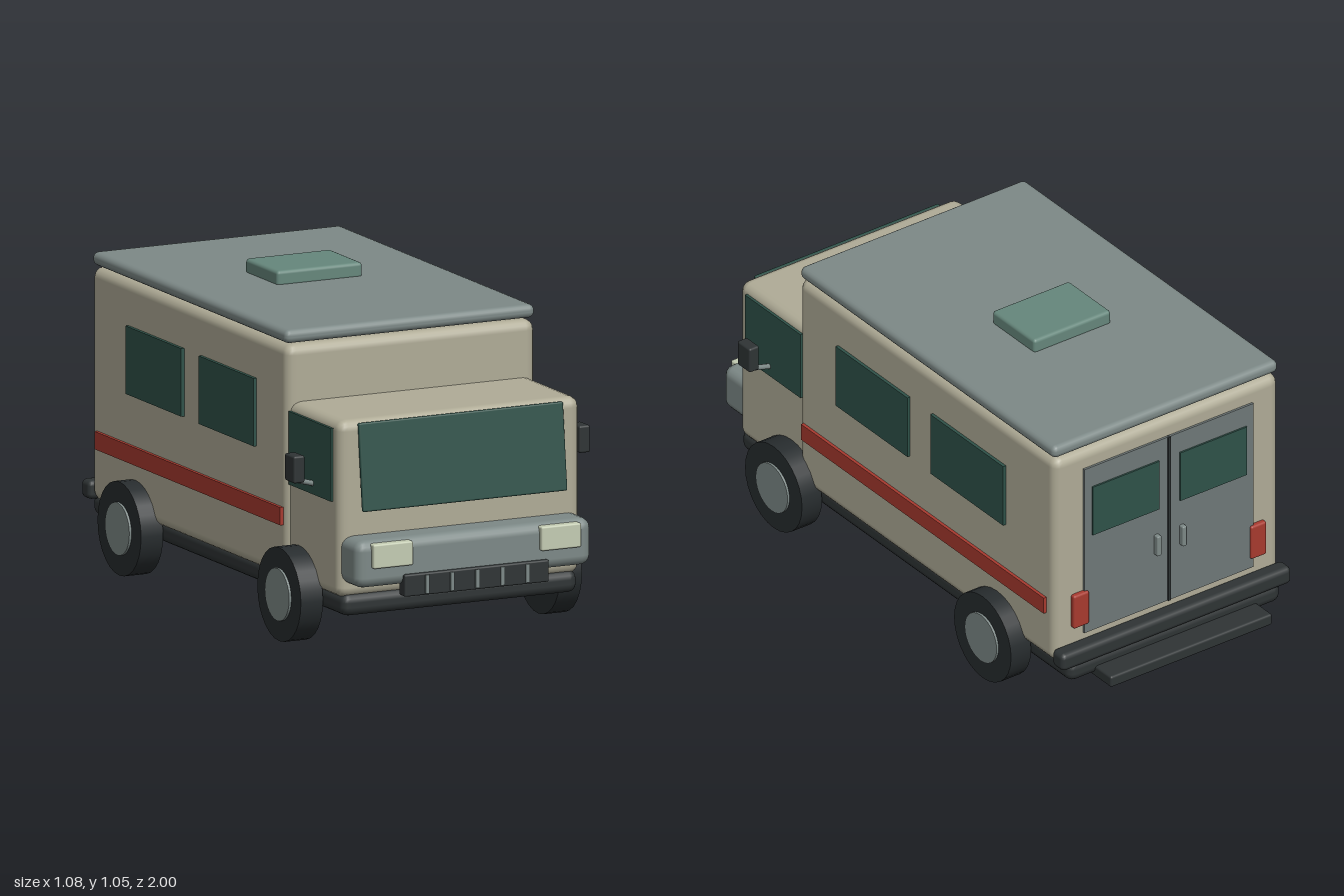
import * as THREE from 'three';
import { RoundedBoxGeometry } from 'three/addons/geometries/RoundedBoxGeometry.js';

const material = (color) => new THREE.MeshStandardMaterial({ color });
const paint = material(0xb0ac97);
const roofGrey = material(0x7d8987);
const doorGrey = material(0x6f7878);
const glass = material(0x2f5249);
const dark = material(0x2f3435);
const rubber = material(0x272c2e);
const red = material(0xa83a2f);
const lamp = material(0xc4ccb3);
const ventGreen = material(0x66877c);

export function createModel() {
  const model = new THREE.Group();
  model.name = 'van';

  const add = (name, geometry, mat) => {
    const mesh = new THREE.Mesh(geometry, mat);
    mesh.name = name;
    model.add(mesh);
    return mesh;
  };
  // Box given by its limits on each axis; a radius rounds its edges
  const box = (name, [x0, x1], [y0, y1], [z0, z1], mat, radius = 0) => {
    const size = [x1 - x0, y1 - y0, z1 - z0];
    const geometry = radius
      ? new RoundedBoxGeometry(...size, 2, radius)
      : new THREE.BoxGeometry(...size);
    const mesh = add(name, geometry, mat);
    mesh.position.set((x0 + x1) / 2, (y0 + y1) / 2, (z0 + z1) / 2);
    return mesh;
  };
  // Same box on the left (+x) and right (-x)
  const pair = (name, [x0, x1], y, z, mat, radius) => {
    box(name + 'Left', [x0, x1], y, z, mat, radius);
    box(name + 'Right', [-x1, -x0], y, z, mat, radius);
  };

  // Main shells
  box('body', [-0.452, 0.452], [0.185, 0.96], [-0.868, 0.53], paint, 0.035);
  box('cab', [-0.438, 0.438], [0.185, 0.772], [0.4, 0.874], paint, 0.035);
  box('chassis', [-0.427, 0.427], [0.125, 0.2], [-0.915, 0.88], dark, 0.03);
  box('roof', [-0.453, 0.453], [0.963, 1.008], [-0.863, 0.523], roofGrey, 0.02);
  box('roofVent', [-0.155, 0.155], [1.0, 1.053], [-0.354, -0.123], ventGreen, 0.012);
  box('roofSeal', [-0.42, 0.42], [0.95, 0.97], [-0.83, 0.49], roofGrey);

  // Windscreen, leaning outwards at the bottom
  const windscreen = add('windscreen', new RoundedBoxGeometry(0.742, 0.29, 0.016, 2, 0.006), glass);
  windscreen.position.set(0, 0.618, 0.888);
  windscreen.rotation.x = -0.11;

  // Nose, lamps and grille
  box('nose', [-0.427, 0.427], [0.235, 0.392], [0.83, 0.98], roofGrey, 0.035);
  pair('headlight', [0.233, 0.377], [0.303, 0.383], [0.96, 0.997], lamp, 0.006);
  box('grille', [-0.262, 0.262], [0.199, 0.272], [0.95, 0.993], dark, 0.006);
  for (let i = -2; i <= 2; i++) {
    const x = i * 0.091;
    box('grilleBar', [x - 0.007, x + 0.007], [0.205, 0.266], [0.98, 0.998], roofGrey);
  }

  // Side glass and stripes
  pair('cabWindow', [0.425, 0.446], [0.501, 0.743], [0.525, 0.826], glass);
  pair('frontSideWindow', [0.44, 0.463], [0.587, 0.812], [-0.08, 0.311], glass);
  pair('rearSideWindow', [0.44, 0.463], [0.587, 0.812], [-0.6, -0.204], glass);
  pair('stripe', [0.44, 0.463], [0.362, 0.421], [-0.82, 0.499], red);

  // Rear doors with windows, handles and lamps
  pair('rearDoor', [0.004, 0.34], [0.27, 0.893], [-0.876, -0.85], doorGrey);
  box('doorSeam', [-0.006, 0.006], [0.27, 0.893], [-0.88, -0.85], dark);
  pair('rearWindow', [0.042, 0.31], [0.635, 0.818], [-0.882, -0.86], glass);
  pair('doorHandle', [0.042, 0.06], [0.465, 0.54], [-0.895, -0.87], roofGrey, 0.005);
  pair('tailLight', [0.325, 0.388], [0.305, 0.43], [-0.885, -0.85], red, 0.008);

  // Rear bumper and step
  box('rearBumper', [-0.462, 0.462], [0.185, 0.248], [-0.923, -0.86], dark, 0.018);
  box('rearStep', [-0.325, 0.325], [0.117, 0.158], [-1, -0.86], dark, 0.008);

  // Mirrors on short arms
  pair('mirror', [0.498, 0.538], [0.553, 0.643], [0.676, 0.745], dark, 0.007);
  for (const s of [1, -1]) {
    const path = new THREE.LineCurve3(
      new THREE.Vector3(s * 0.43, 0.533, 0.695),
      new THREE.Vector3(s * 0.52, 0.557, 0.695));
    add('mirrorArm', new THREE.TubeGeometry(path, 1, 0.009, 8), roofGrey);
  }

  // Wheels with hub discs
  for (const s of [1, -1]) {
    for (const z of [0.584, -0.552]) {
      const tyre = add('tyre', new THREE.CylinderGeometry(0.155, 0.155, 0.08, 28), rubber);
      const hub = add('hub', new THREE.CylinderGeometry(0.087, 0.087, 0.088, 28), roofGrey);
      tyre.position.set(s * 0.47, 0.155, z);
      hub.position.set(s * 0.474, 0.155, z);
      tyre.rotation.z = hub.rotation.z = Math.PI / 2;
    }
  }
  return model;
}
